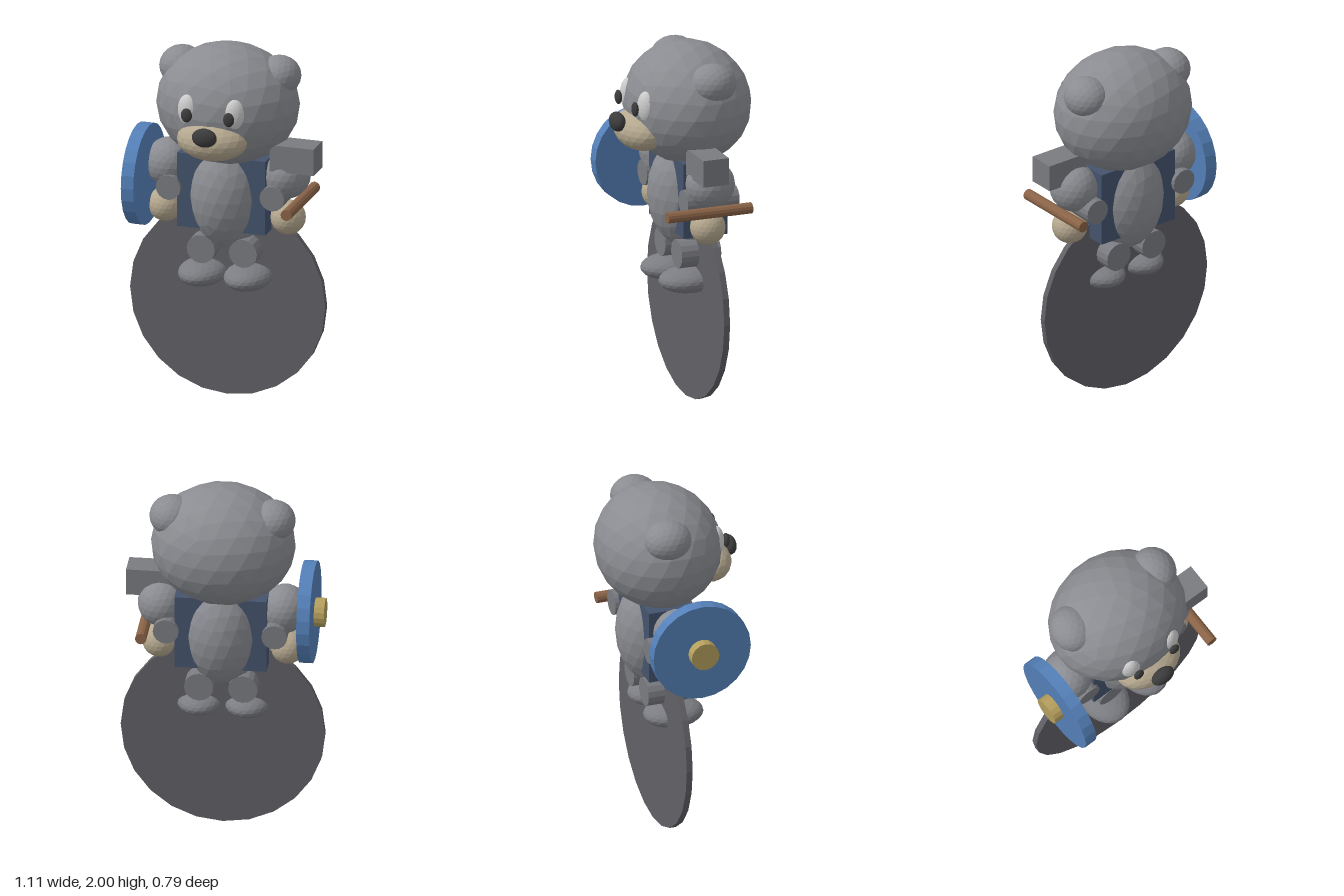
import * as THREE from 'three';

const mat = (color) => new THREE.MeshStandardMaterial({ color, flatShading: true });
const M = {
  fur: mat(0x8a8c91), foot: mat(0x7c7d82), tan: mat(0xb5a88f), dark: mat(0x3c3c3c),
  white: mat(0xc8c8c4), vest: mat(0x44536d), blue: mat(0x5480b8), gold: mat(0xb59f5c),
  wood: mat(0x8a6347), disc: mat(0x606066), limb: mat(0x7a7b80),
};

export function createModel() {
  const model = new THREE.Group();

  const add = (name, geometry, material, [x, y, z]) => {
    const mesh = new THREE.Mesh(geometry, material);
    mesh.name = name;
    mesh.position.set(x, y, z);
    model.add(mesh);
    return mesh;
  };

  // Faceted ellipsoid with a corner at its top
  const ball = (name, material, pos, [rx, ry, rz], detail = 3) => {
    const g = new THREE.IcosahedronGeometry(1, detail);
    g.rotateX(-Math.atan((1 + Math.sqrt(5)) / 2)).rotateY(Math.PI / 2).scale(rx, ry, rz);
    return add(name, g, material, pos);
  };

  // Cylinder lying along the x or z axis
  const rod = (name, material, pos, radius, length, axis, sides) => {
    const g = new THREE.CylinderGeometry(radius, radius, length, sides);
    if (axis === 'x') g.rotateZ(Math.PI / 2);
    else g.rotateX(Math.PI / 2);
    return add(name, g, material, pos);
  };

  const box = (name, material, pos, size) =>
    add(name, new THREE.BoxGeometry(...size), material, pos);

  // Head and face
  ball('head', M.fur, [0, 1.665, -0.05], [0.393, 0.335, 0.342]);
  ball('muzzle', M.tan, [0, 1.54, 0.22], [0.197, 0.113, 0.137]);
  ball('nose', M.dark, [0, 1.595, 0.355], [0.07, 0.053, 0.041]);

  // Torso
  ball('body', M.fur, [0, 1.155, -0.057], [0.213, 0.315, 0.224]);
  box('vest', M.vest, [0, 1.18, -0.058], [0.5, 0.42, 0.255]);

  // Paired parts
  for (const [side, s] of [['left', 1], ['right', -1]]) {
    ball(side + 'Ear', M.fur, [s * 0.275, 1.837, -0.088], [0.122, 0.11, 0.131]);
    const eye = ball(side + 'Eye', M.white, [s * 0.133, 1.702, 0.238], [0.059, 0.09, 0.044]);
    eye.rotation.y = s * 0.3;
    ball(side + 'Pupil', M.dark, [s * 0.12, 1.693, 0.3], [0.031, 0.04, 0.018]);
    ball(side + 'Shoulder', M.fur, [s * 0.335, 1.292, -0.05], [0.13, 0.134, 0.135]);
    rod(side + 'Forearm', M.limb, [s * 0.295, 1.19, -0.06], 0.07, 0.3, 'z', 16);
    ball(side + 'Hand', M.tan, [s * 0.348, 1.055, -0.031], [0.096, 0.096, 0.097]);
    rod(side + 'Leg', M.limb, [s * 0.12, 0.847, -0.056], 0.08, 0.228, 'z', 16);
    ball(side + 'Foot', M.foot, [s * 0.13, 0.7, -0.006], [0.13, 0.07, 0.167]);
  }

  // Large upright disc
  rod('standDisc', M.disc, [0, 0.555, -0.06], 0.555, 0.034, 'z', 24);

  // Shield with boss, on the right arm
  rod('shield', M.blue, [-0.454, 1.237, 0.034], 0.278, 0.071, 'x', 24);
  rod('shieldBoss', M.gold, [-0.485, 1.237, 0.034], 0.079, 0.12, 'x', 16);

  // Handle and block, on the left arm
  rod('handle', M.wood, [0.425, 1.16, -0.008], 0.031, 0.49, 'z', 12);
  box('block', M.limb, [0.4, 1.415, -0.008], [0.25, 0.15, 0.15]);

  return model;
}
